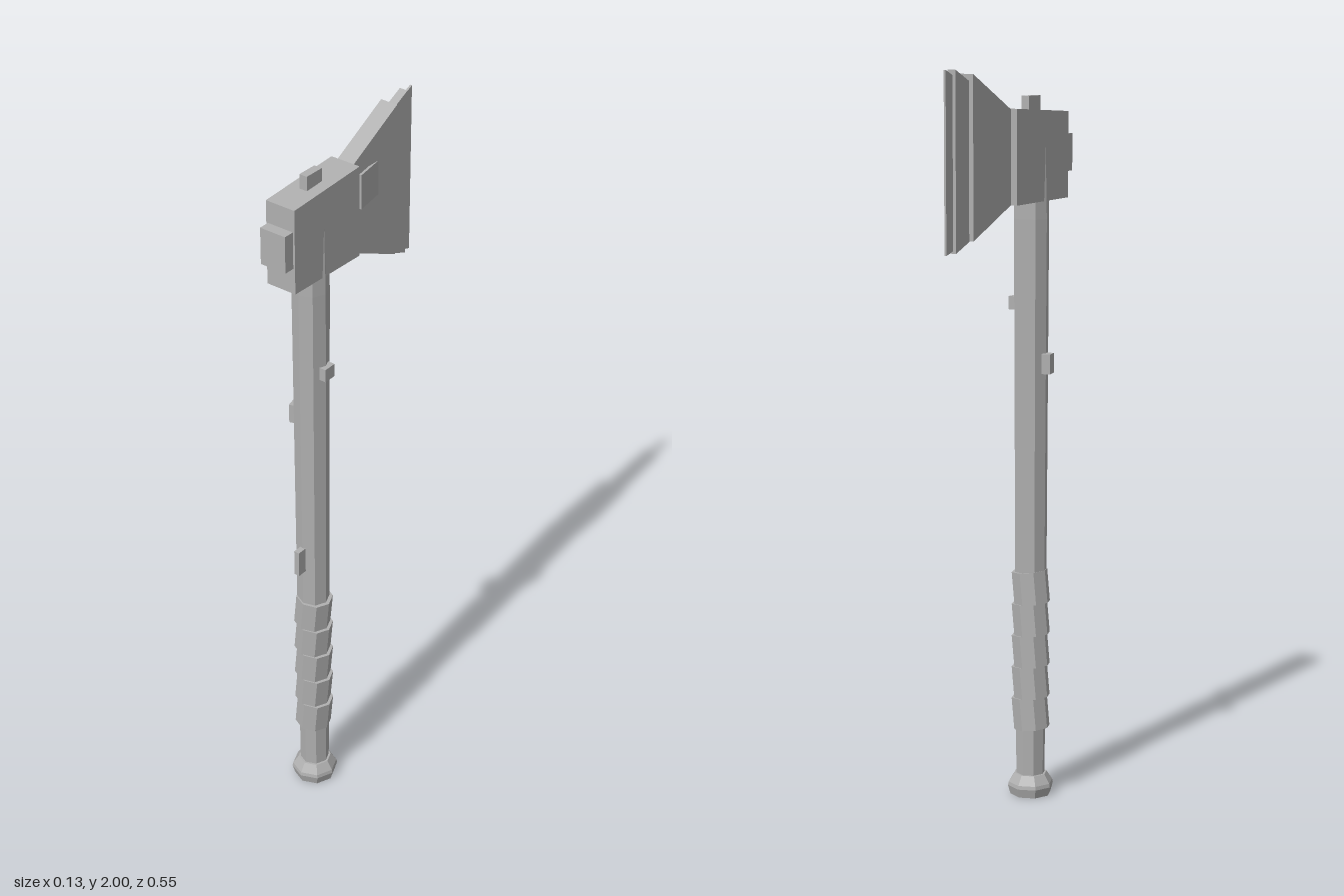
import * as THREE from 'three';

const steel = new THREE.MeshStandardMaterial({ color: 0xb0b0b0, flatShading: true });
steel.name = 'plain grey';

const HANDLE_Z = 0.13;

export function createModel() {
  const axe = new THREE.Group();
  axe.name = 'axe';

  const add = (name, geometry, x = 0, y = 0, z = 0) => {
    const mesh = new THREE.Mesh(geometry, steel);
    mesh.name = name;
    mesh.position.set(x, y, z);
    axe.add(mesh);
    return mesh;
  };
  const box = (name, w, h, d, x, y, z) => add(name, new THREE.BoxGeometry(w, h, d), x, y, z);

  // eight-sided turned part, points as [radius, y]
  const turned = (name, points) =>
    add(name, new THREE.LatheGeometry(points.map(p => new THREE.Vector2(...p)), 8), 0, 0, HANDLE_Z);

  // side profile as [z, y], thickened evenly along x
  const slab = (name, halfWidth, points) => {
    const shape = new THREE.Shape(points.map(([z, y]) => new THREE.Vector2(-z, y)));
    const geometry = new THREE.ExtrudeGeometry(shape, { depth: 2 * halfWidth, bevelEnabled: false });
    geometry.translate(0, 0, -halfWidth).rotateY(Math.PI / 2);
    return add(name, geometry);
  };

  // handle and pommel
  turned('handle', [[0, 0.04], [0.04, 0.04], [0.044, 0.64], [0.048, 1.6], [0.043, 1.84], [0, 1.84]]);
  turned('pommel', [[0, 0], [0.057, 0], [0.064, 0.025], [0.062, 0.035], [0.046, 0.06], [0, 0.06]]);

  // grip wraps, each leaning a little sideways
  for (let i = 0; i < 5; i++) {
    const wrap = add('gripWrap', new THREE.CylinderGeometry(0.05, 0.05, 0.09, 8),
      0, 0.235 + i * 0.089, HANDLE_Z);
    wrap.rotation.z = -0.1;
  }

  // pegs on the handle
  box('leftPeg', 0.024, 0.036, 0.038, 0.047, 1.372, 0.128);
  box('rightPeg', 0.024, 0.054, 0.034, -0.052, 1.213, 0.13).rotation.y = 0.25;
  box('frontPeg', 0.016, 0.075, 0.034, 0, 0.783, 0.182);

  // head, poll and wedge
  slab('head', 0.044, [[0.243, 1.65], [-0.01, 1.645], [-0.01, 1.895], [0.243, 1.88]]);
  box('poll', 0.077, 0.1, 0.04, 0, 1.77, 0.253);
  box('wedge', 0.023, 0.06, 0.058, 0, 1.894, 0.126);

  // blade in three ever thinner steps
  slab('blade', 0.025, [[0, 1.65], [-0.185, 1.565], [-0.185, 1.988], [0, 1.888]]);
  slab('bevel', 0.012, [[-0.11, 1.595], [-0.245, 1.538], [-0.245, 2], [-0.11, 1.935]]);
  slab('cuttingEdge', 0.003, [[-0.2, 1.558], [-0.275, 1.535], [-0.275, 2], [-0.2, 1.967]]);

  // loose plate on the blade's left cheek
  box('cheekPlate', 0.007, 0.095, 0.09, 0.0295, 1.817, -0.066).rotation.y = 0.17;

  return axe;
}
